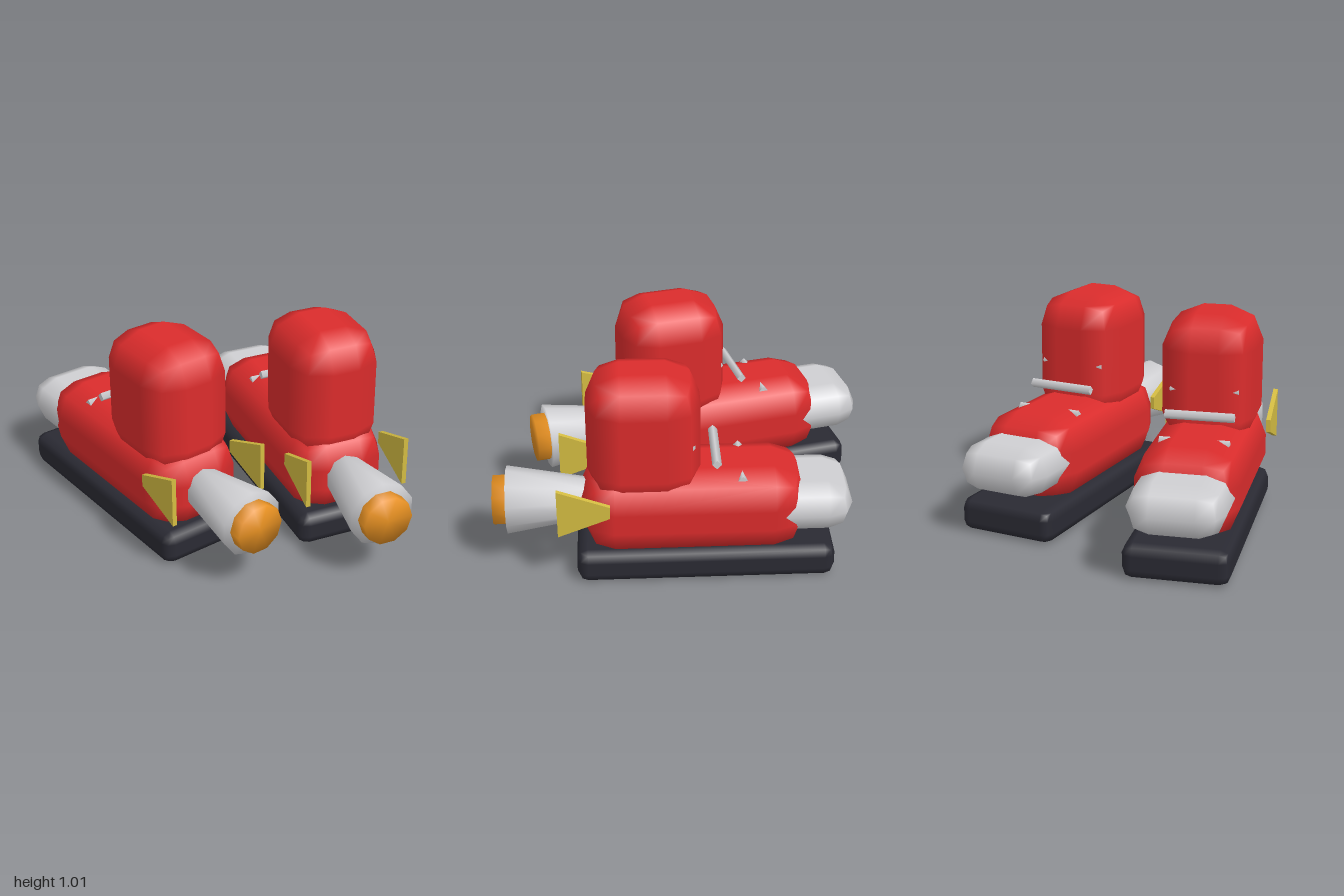
import * as THREE from 'three';
import { RoundedBoxGeometry } from 'three/addons/geometries/RoundedBoxGeometry.js';
import { mergeVertices } from 'three/addons/utils/BufferGeometryUtils.js';

function material(name, color) {
  const m = new THREE.MeshStandardMaterial({ color });
  m.name = name;
  return m;
}

const red = material('red', 0xdb2c2c);
const dark = material('dark rubber', 0x2a2a33);
const silver = material('silver', 0xcfcfd2);
const gold = material('gold', 0xd4bc42);
const orange = material('orange', 0xe69022);

function add(parent, name, geometry, mat, x = 0, y = 0, z = 0) {
  const mesh = new THREE.Mesh(geometry, mat);
  mesh.name = name;
  mesh.position.set(x, y, z);
  parent.add(mesh);
  return mesh;
}

// Rounded block given by its width and its y and z ranges
function block(parent, name, mat, width, y0, y1, z0, z1, radius) {
  const geometry = new RoundedBoxGeometry(width, y1 - y0, z1 - z0, 1, radius);
  return add(parent, name, geometry, mat, 0, (y0 + y1) / 2, (z0 + z1) / 2);
}

// Ten-sided drum along z with softly shaded rims
function drum(parent, name, mat, rBack, rFront, z0, z1, y, turn) {
  let g = new THREE.CylinderGeometry(rFront, rBack, z1 - z0, 10);
  g.rotateY(turn).rotateX(Math.PI / 2);
  g.deleteAttribute('normal');
  g.deleteAttribute('uv');
  g = mergeVertices(g);
  g.computeVertexNormals();
  return add(parent, name, g, mat, 0, y, (z0 + z1) / 2);
}

// Side fin: a tapered plate, tall at the trailing edge
function finGeometry() {
  const shape = new THREE.Shape([
    new THREE.Vector2(-0.13, 0.38),
    new THREE.Vector2(-0.13, 0.44),
    new THREE.Vector2(-0.37, 0.53),
    new THREE.Vector2(-0.37, 0.287),
  ]);
  const g = new THREE.ExtrudeGeometry(shape, { depth: 0.022, bevelEnabled: false });
  g.translate(0, 0, -0.011);
  return g.rotateY(Math.PI / 2);
}

function createBoot(name) {
  const boot = new THREE.Group();
  boot.name = name;
  block(boot, 'sole', dark, 0.48, 0, 0.162, -0.915, 0.29, 0.05);
  block(boot, 'foot', red, 0.48, 0.12, 0.53, -0.785, 0.265, 0.155);
  block(boot, 'shaft', red, 0.44, 0.38, 1.013, -0.29, 0.23, 0.155);
  block(boot, 'toeCap', silver, 0.44, 0.21, 0.45, -1, -0.52, 0.119);

  // Rocket nozzle and its glow behind the heel
  drum(boot, 'nozzle', silver, 0.095, 0.16, 0.22, 0.612, 0.33, 0);
  drum(boot, 'flame', orange, 0.12, 0.12, 0.56, 0.675, 0.33, Math.PI / 10);

  for (const side of [-1, 1]) {
    add(boot, side > 0 ? 'leftFin' : 'rightFin', finGeometry(), gold, side * 0.248, 0, 0);
  }

  // Lace bars climbing from the foot to the shaft
  for (let i = 0; i < 3; i++) {
    const g = new THREE.CylinderGeometry(0.022, 0.022, 0.32, 4);
    g.rotateZ(Math.PI / 2);
    add(boot, 'laceBar', g, silver, 0, 0.5 + i * 0.09, -0.48 + i * 0.12);
  }
  return boot;
}

export function createModel() {
  const model = new THREE.Group();
  model.name = 'rocketBoots';
  const right = createBoot('rightBoot');
  right.position.set(-0.42, 0, 0);
  // The second boot stands further forward, turned outward
  const left = createBoot('leftBoot');
  left.position.set(0.233, 0, 0.314);
  left.rotation.y = -0.24;
  model.add(right, left);
  return model;
}
